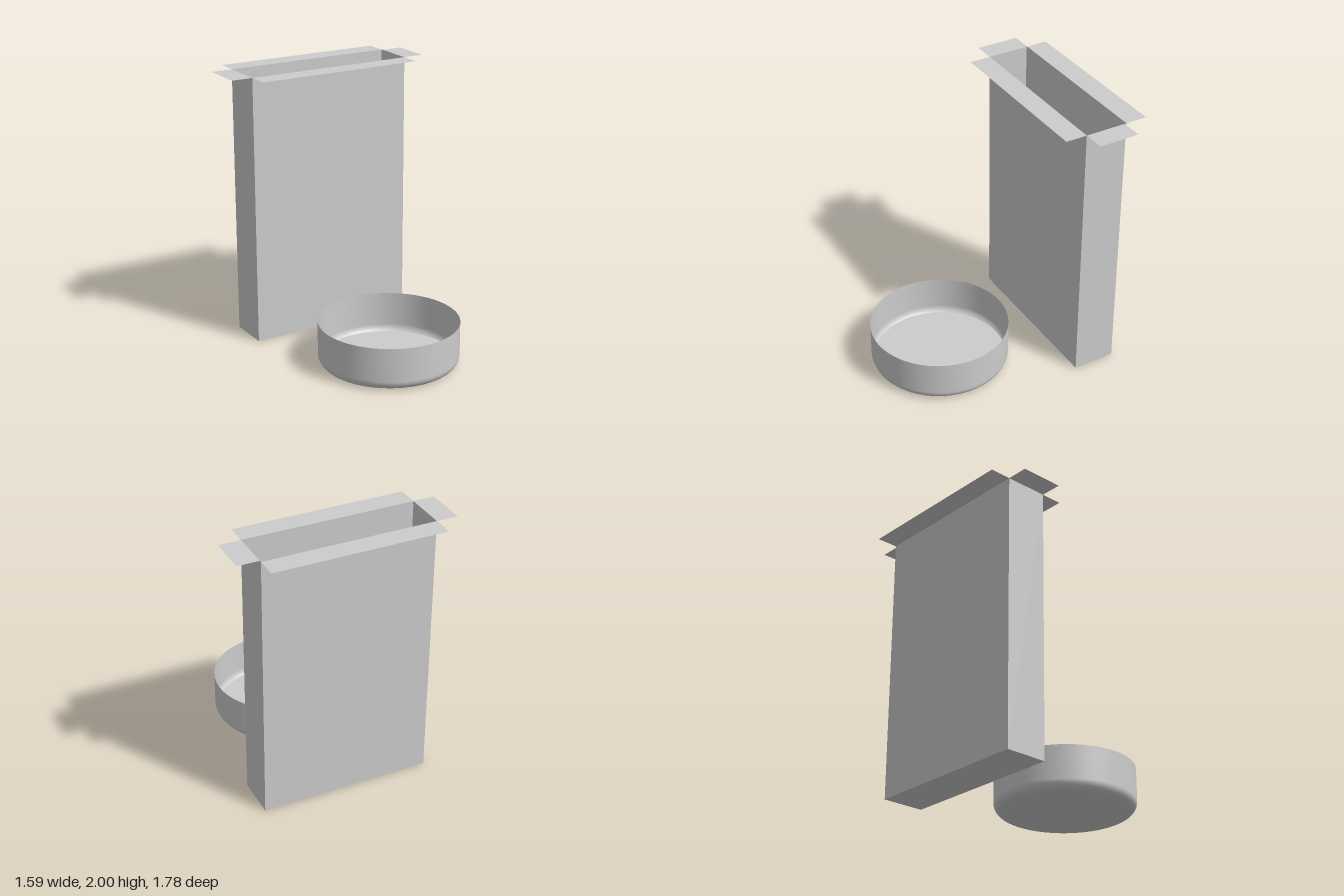
import * as THREE from 'three';

const grey = new THREE.MeshStandardMaterial({ color: 0xcccccc, side: THREE.DoubleSide });
grey.name = 'plain grey';

function add(parent, name, geometry, x = 0, y = 0, z = 0) {
  const mesh = new THREE.Mesh(geometry, grey);
  mesh.name = name;
  mesh.position.set(x, y, z);
  parent.add(mesh);
  return mesh;
}

// Box without its top face
function openBox(w, h, d) {
  const g = new THREE.BoxGeometry(w, h, d);
  const index = Array.from(g.index.array);
  index.splice(12, 6);
  g.setIndex(index);
  g.clearGroups();
  return g;
}

// Horizontal sheet facing up
const sheet = (w, d) => new THREE.PlaneGeometry(w, d).rotateX(-Math.PI / 2);

function createCarton() {
  const carton = new THREE.Group();
  carton.name = 'carton';
  const w = 1.268, d = 0.317, top = 1.999, flap = 0.159;
  add(carton, 'cartonWalls', openBox(w, top, d), 0, top / 2, 0);
  add(carton, 'innerLiner', openBox(1.258, 1.975, 0.298), 0, 0.9965, -0.002);
  // Flaps folded out flat
  for (const s of [-1, 1]) {
    add(carton, 'longFlap', sheet(w, flap), 0, top, s * (d + flap) / 2);
  }
  add(carton, 'leftFlap', sheet(flap, 0.3), (w + flap) / 2, top, 0.007);
  add(carton, 'rightFlap', sheet(flap, d), -(w + flap) / 2, top, 0);
  carton.position.z = -0.572;
  return carton;
}

function createBowl() {
  const bowl = new THREE.Group();
  bowl.name = 'bowl';
  // Thin shell: flat base, rounded corner, upright wall
  const R = 0.508, r = 0.07;
  const profile = [new THREE.Vector2(0, 0), new THREE.Vector2(0.2, 0)];
  for (let i = 0; i <= 8; i++) {
    const a = (i / 8) * Math.PI / 2;
    profile.push(new THREE.Vector2(R - r + r * Math.sin(a), r - r * Math.cos(a)));
  }
  profile.push(new THREE.Vector2(R, 0.2), new THREE.Vector2(R, 0.319));
  add(bowl, 'bowlShell', new THREE.LatheGeometry(profile, 96));

  // Flat filling
  add(bowl, 'filling', new THREE.CircleGeometry(0.487, 96).rotateX(-Math.PI / 2), 0, 0.021, 0);

  // Spoon lying on the filling, handle towards -x
  const s = new THREE.Shape();
  s.moveTo(-0.485, 0.015);
  s.lineTo(-0.16, 0.01);
  s.bezierCurveTo(-0.11, 0.01, -0.12, 0.063, 0, 0.063);
  s.bezierCurveTo(0.06, 0.063, 0.115, 0.035, 0.115, 0);
  s.bezierCurveTo(0.115, -0.035, 0.06, -0.063, 0, -0.063);
  s.bezierCurveTo(-0.12, -0.063, -0.11, -0.01, -0.16, -0.01);
  s.lineTo(-0.485, -0.015);
  add(bowl, 'spoon', new THREE.ShapeGeometry(s, 12).rotateX(-Math.PI / 2), 0, 0.025, -0.006);

  bowl.position.z = 0.381;
  return bowl;
}

export function createModel() {
  const model = new THREE.Group();
  model.name = 'cartonAndBowl';
  model.add(createCarton(), createBowl());
  return model;
}
